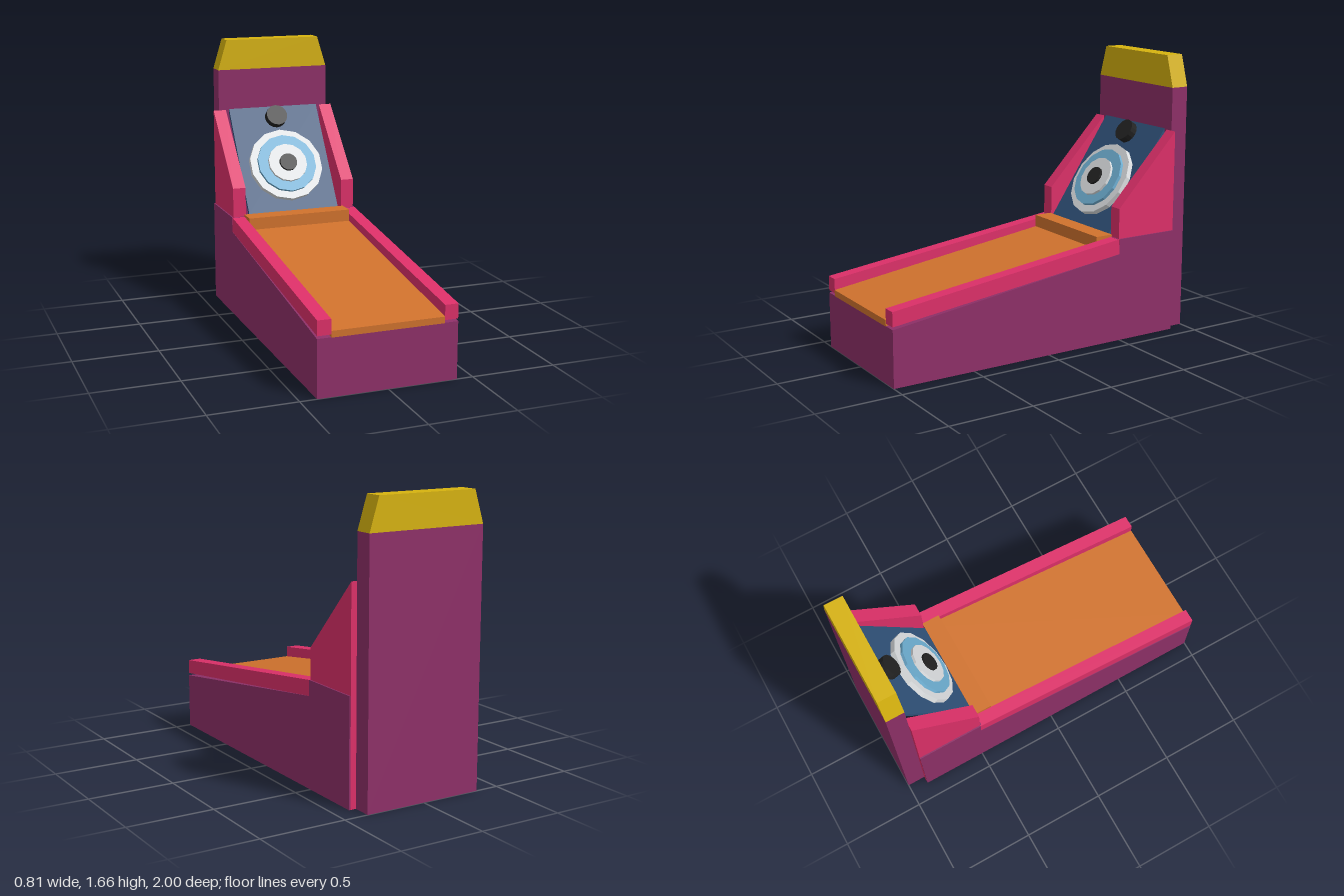
import * as THREE from 'three';

const material = (name, color) => {
  const m = new THREE.MeshStandardMaterial({ color });
  m.name = name;
  return m;
};

export function createModel() {
  const purple = material('purple', 0x8e3068);
  const pink = material('pink', 0xdd3069);
  const orange = material('orange', 0xd0722d);
  const yellow = material('yellow', 0xd6b20f);
  const navy = material('navy blue', 0x30527a);
  const sky = material('sky blue', 0x6fb0d4);
  const white = material('white', 0xdcdfe1);
  const black = material('black', 0x222222);

  const model = new THREE.Group();
  model.name = 'rampGame';

  const add = (name, geometry, mat, parent = model) => {
    const mesh = new THREE.Mesh(geometry, mat);
    mesh.name = name;
    parent.add(mesh);
    return mesh;
  };

  // Box given by its lower and upper limits
  const box = (name, mat, [x0, x1], [y0, y1], [z0, z1]) => {
    const mesh = add(name, new THREE.BoxGeometry(x1 - x0, y1 - y0, z1 - z0), mat);
    mesh.position.set((x0 + x1) / 2, (y0 + y1) / 2, (z0 + z1) / 2);
    return mesh;
  };

  // Side profile of [z, y] points, extruded from x0 to x1
  const profile = (name, mat, points, x0, x1) => {
    const shape = new THREE.Shape(points.map(([z, y]) => new THREE.Vector2(z, y)));
    const geometry = new THREE.ExtrudeGeometry(shape, { depth: x1 - x0, bevelEnabled: false });
    geometry.rotateY(-Math.PI / 2).translate(x1, 0, 0);
    return add(name, geometry, mat);
  };

  const front = 1, step = -0.49, rear = -0.89;
  const halfWidth = 0.404;

  // Hollow cabinet, open underneath
  box('cabinetFront', purple, [-halfWidth, halfWidth], [0, 0.33], [front - 0.008, front]);
  box('cabinetDivider', purple, [-0.396, 0.396], [0, 0.62], [step, step + 0.008]);
  profile('cabinetTop', purple,
    [[front, 0.322], [front, 0.33], [step, 0.53], [step, 0.522]], -0.396, 0.396);

  // Side walls, rails and upper side panels, mirrored
  for (const side of [-1, 1]) {
    const pair = (name, mat, points, inner, outer) =>
      profile(name, mat, points, Math.min(side * inner, side * outer), Math.max(side * inner, side * outer));
    pair('cabinetSide', purple,
      [[front, 0], [front, 0.33], [step, 0.53], [step, 0.62], [rear, 0.62], [rear, 0]], 0.396, halfWidth);
    pair('rail', pink,
      [[front, 0.345], [front, 0.43], [step, 0.62], [step, 0.53]], 0.325, halfWidth - 0.001);
    pair('sidePanel', pink,
      [[step, 0], [step, 0.8], [rear, 1.22], [rear, 0]], 0.315, 0.395);
  }

  // Ball ramp with a hump at its end
  profile('ramp', orange,
    [[front + 0.001, 0.328], [front + 0.001, 0.365], [step, 0.575], [step, 0.53]], -0.325, 0.325);
  box('hump', orange, [-0.326, 0.326], [0.54, 0.632], [step, -0.38]);

  // Back tower and its tapered cap
  box('tower', purple, [-0.36, 0.36], [0, 1.475], [-1, rear]);
  const capShape = new THREE.Shape([[-0.36, 1.475], [0.36, 1.475], [0.303, 1.662], [-0.303, 1.662]]
    .map(([x, y]) => new THREE.Vector2(x, y)));
  const cap = add('towerCap', new THREE.ExtrudeGeometry(capShape, { depth: 0.11, bevelEnabled: false }), yellow);
  cap.position.z = -1;

  // Sloping target board: local y runs up the slope, local z points out of it
  const board = new THREE.Group();
  board.name = 'targetBoard';
  board.position.set(0, 0.63, step);
  board.rotation.x = -Math.atan2(0.4, 0.595);
  model.add(board);
  const length = Math.hypot(0.4, 0.595);
  const plate = add('boardPlate', new THREE.BoxGeometry(0.586, length, 0.02), navy, board);
  plate.position.set(0, length / 2, -0.01);

  // Stacked target discs and the upper hole
  const disc = (name, mat, radius, height, up, base, sides) => {
    const geometry = new THREE.CylinderGeometry(radius, radius, height - base, sides).rotateX(Math.PI / 2);
    const mesh = add(name, geometry.toNonIndexed(), mat, board);
    mesh.geometry.computeVertexNormals();
    mesh.position.set(0, up, (height + base) / 2);
  };
  disc('outerRing', white, 0.236, 0.033, 0.302, 0, 14);
  disc('middleRing', sky, 0.19, 0.052, 0.302, 0.02, 14);
  disc('innerRing', white, 0.125, 0.068, 0.299, 0.04, 14);
  disc('centreHole', black, 0.056, 0.083, 0.297, 0.06, 16);
  disc('upperHole', black, 0.068, 0.045, 0.637, 0, 16);

  return model;
}
